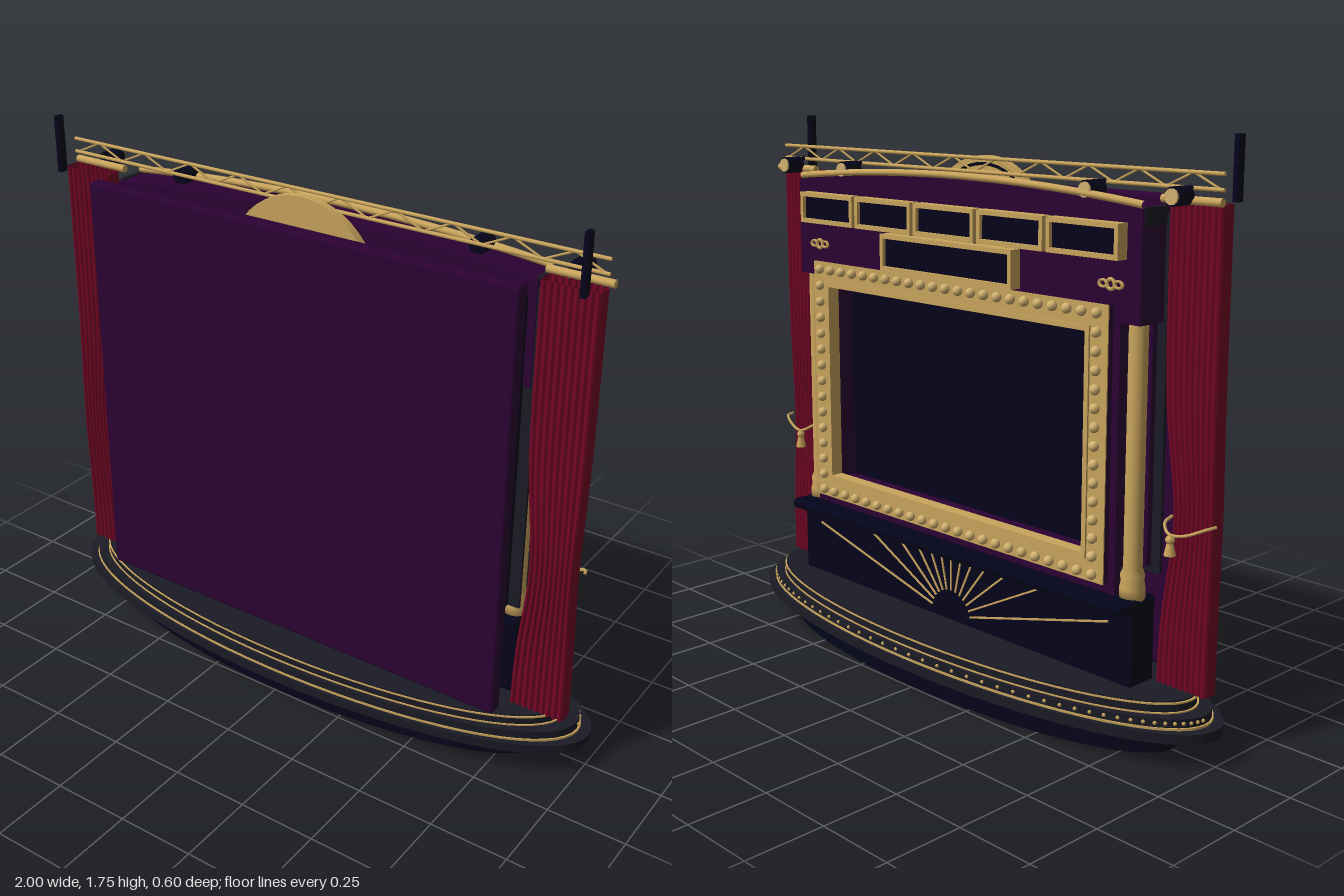
import * as THREE from 'three';
import { RoundedBoxGeometry } from 'three/addons/geometries/RoundedBoxGeometry.js';

const mat = (name, color, side = THREE.FrontSide) => {
  const m = new THREE.MeshStandardMaterial({ color, side });
  m.name = name;
  return m;
};

export function createModel() {
  const root = new THREE.Group();
  root.name = 'stageSet';
  const gold = mat('gold', 0xc9a45c);
  const bulbGold = mat('bulbGold', 0xd2b270);
  const purple = mat('purple', 0x2b0233);
  const navy = mat('navy', 0x04041b);
  const grey = mat('charcoal', 0x1a1b25);
  const red = mat('curtainRed', 0x780527, THREE.DoubleSide);

  const add = (name, geo, material, x = 0, y = 0, z = 0) => {
    const m = new THREE.Mesh(geo, material);
    m.name = name;
    m.position.set(x, y, z);
    root.add(m);
    return m;
  };
  // box given by its min and max corners
  const box = (name, material, x0, x1, y0, y1, z0, z1) =>
    add(name, new THREE.BoxGeometry(x1 - x0, y1 - y0, z1 - z0), material, (x0 + x1) / 2, (y0 + y1) / 2, (z0 + z1) / 2);
  const rectPath = (P, x0, x1, y0, y1) => {
    const p = new P();
    p.moveTo(x0, y0); p.lineTo(x1, y0); p.lineTo(x1, y1); p.lineTo(x0, y1); p.closePath();
    return p;
  };
  // rectangular frame: outer half width and height, border size, z range
  const frame = (name, material, x, y, hw, hh, border, z0, z1) => {
    const s = rectPath(THREE.Shape, -hw, hw, -hh, hh);
    s.holes.push(rectPath(THREE.Path, -hw + border, hw - border, -hh + border, hh - border));
    return add(name, new THREE.ExtrudeGeometry(s, { depth: z1 - z0, bevelEnabled: false }), material, x, y, z0);
  };
  // straight round bar between two points
  const bar = (name, material, a, b, r, sides = 8) => {
    const A = new THREE.Vector3(...a), B = new THREE.Vector3(...b);
    const m = add(name, new THREE.CylinderGeometry(r, r, A.distanceTo(B), sides), material);
    m.position.copy(A).add(B).multiplyScalar(0.5);
    m.quaternion.setFromUnitVectors(new THREE.Vector3(0, 1, 0), B.sub(A).normalize());
    return m;
  };

  // elliptical stepped base with gold edging
  const disc = (name, material, rx, rz, y0, y1) => {
    const m = add(name, new THREE.CylinderGeometry(1, 1, y1 - y0, 72), material, 0, (y0 + y1) / 2, 0);
    m.scale.set(rx, 1, rz);
  };
  disc('plinth', navy, 0.845, 0.245, 0, 0.085);
  disc('lowerStep', grey, 1, 0.3, 0.08, 0.11);
  disc('lowerTrim', gold, 0.966, 0.289, 0.105, 0.117);
  disc('middleStep', grey, 0.96, 0.286, 0.117, 0.143);
  disc('middleTrim', gold, 0.914, 0.274, 0.14, 0.147);
  disc('upperStep', grey, 0.908, 0.27, 0.147, 0.172);
  disc('upperTrim', gold, 0.912, 0.272, 0.17, 0.175);
  disc('stageFloor', grey, 0.905, 0.269, 0.172, 0.18);
  for (let i = 0; i < 48; i++) {
    const a = Math.PI + (i + 0.5) / 48 * Math.PI;
    add('rimStud', new THREE.SphereGeometry(0.006, 8, 6), gold, Math.cos(a) * 0.96, 0.13, Math.sin(a) * 0.287);
  }

  // tall panel with soft edges
  add('tallPanel', new RoundedBoxGeometry(1.515, 1.39, 0.05, 3, 0.012), purple, -0.003, 0.875, 0.14);

  // round crest
  const crest = add('crest', new THREE.CylinderGeometry(0.26, 0.26, 0.026, 48), gold, 0, 1.39, 0.08);
  crest.rotation.x = Math.PI / 2;
  for (const r of [0.19, 0.235]) add('crestRing', new THREE.TorusGeometry(r, 0.005, 6, 48), navy, 0, 1.39, 0.066);

  // lower cabinet, ledge and sunburst
  box('lowerCabinet', navy, -0.745, 0.745, 0.18, 0.43, -0.075, 0.025);
  add('ledge', new RoundedBoxGeometry(1.5, 0.035, 0.165, 3, 0.014), navy, 0, 0.422, -0.052);
  for (let i = 0; i < 13; i++) {
    const a = Math.PI * (0.08 + 0.84 * i / 12);
    const c = Math.cos(a), s = Math.sin(a);
    const start = 0.09, end = Math.min(0.215 / s, 0.66 / Math.abs(c));
    const ray = add('sunburstRay', new THREE.BoxGeometry(end - start, 0.006, 0.006), gold,
      c * (start + end) / 2, 0.19 + s * (start + end) / 2, -0.076);
    ray.rotation.z = a;
  }

  // screen housing: purple surround, recessed screen, backing
  const surround = rectPath(THREE.Shape, -0.675, 0.675, 0.44, 1.26);
  surround.holes.push(rectPath(THREE.Path, -0.57, 0.57, 0.54, 1.215));
  add('screenSurround', new THREE.ExtrudeGeometry(surround, { depth: 0.08, bevelEnabled: false }), purple, 0, 0, -0.07);
  box('screen', navy, -0.58, 0.58, 0.53, 1.225, 0.005, 0.015);
  box('housingBack', purple, -0.725, 0.725, 0.52, 1.24, 0.01, 0.03);
  box('backing', grey, -0.757, 0.757, 0.5, 1.53, 0.03, 0.04);
  box('rearHousing', navy, -0.72, 0.72, 0.5, 1.5, 0.04, 0.066);

  // arched header with charcoal shoulders
  const header = new THREE.Shape();
  header.moveTo(-0.745, 1.23);
  header.lineTo(0.745, 1.23);
  header.lineTo(0.745, 1.545);
  header.quadraticCurveTo(0, 1.62, -0.745, 1.545);
  header.closePath();
  add('header', new THREE.ExtrudeGeometry(header, { depth: 0.115, bevelEnabled: false, curveSegments: 24 }), purple, 0, 0, -0.07);
  const arch = new THREE.QuadraticBezierCurve3(
    new THREE.Vector3(-0.74, 1.557, -0.06), new THREE.Vector3(0, 1.633, -0.06), new THREE.Vector3(0.74, 1.557, -0.06));
  add('archTrim', new THREE.TubeGeometry(arch, 32, 0.011, 10), gold);

  // bulb frame: dark sides, gold face and lips
  frame('bulbFrame', purple, 0, 0.875, 0.65, 0.405, 0.075, -0.088, -0.068);
  frame('bulbFrameFace', gold, 0, 0.875, 0.65, 0.405, 0.075, -0.092, -0.088);
  frame('frameInnerLip', gold, 0, 0.875, 0.585, 0.34, 0.016, -0.098, -0.055);
  const bulbGeo = new THREE.SphereGeometry(0.0155, 12, 8);
  const bulb = (x, y) => add('bulb', bulbGeo, bulbGold, x, y, -0.099);
  for (let i = 0; i <= 22; i++) {
    for (const y of [0.495, 1.255]) bulb(-0.612 + 1.224 * i / 22, y);
  }
  for (let i = 1; i < 14; i++) for (const x of [-0.612, 0.612]) bulb(x, 0.495 + 0.76 * i / 14);

  // framed sign boxes
  const sign = (x, y, hw, hh) => {
    frame('signFrame', gold, x, y, hw, hh, 0.014, -0.11, -0.068);
    box('signFace', navy, x - hw + 0.01, x + hw - 0.01, y - hh + 0.01, y + hh - 0.01, -0.098, -0.07);
  };
  for (let i = -2; i <= 2; i++) sign(i * 0.28, 1.457, 0.133, 0.05);
  sign(0, 1.342, 0.29, 0.058);

  // flat truss with zigzag braces
  for (const y of [1.603, 1.645]) bar('trussRail', gold, [-0.94, y, 0.024], [0.94, y, 0.024], 0.006);
  for (let i = 0; i < 20; i++) {
    const x = -0.93 + i * 0.093, up = i % 2;
    bar('trussBrace', gold, [x, up ? 1.645 : 1.603, 0.024], [x + 0.093, up ? 1.603 : 1.645, 0.024], 0.0035, 6);
  }

  // parts repeated on both sides
  for (const s of [-1, 1]) {
    // column with turned base
    const profile = [[0, 0.43], [0.038, 0.43], [0.038, 0.465], [0.034, 0.485], [0.036, 0.505], [0.028, 0.525],
      [0.028, 1.23], [0, 1.23]].map(([r, y]) => new THREE.Vector2(r, y));
    add('column', new THREE.LatheGeometry(profile, 24), gold, s * 0.71, 0, -0.032);
    box('headerShoulder', grey, s * 0.74 - 0.008, s * 0.74 + 0.008, 1.5, 1.55, -0.06, 0.03);

    // scroll ornament
    for (const d of [-0.028, 0, 0.028]) {
      const t = add('scroll', new THREE.TorusGeometry(0.014, 0.006, 6, 16), gold, s * 0.64 + d, 1.335, -0.073);
      t.scale.y = d ? 0.7 : 1;
    }

    // thick pleated curtain, gathered at the tieback: front, outer edge, back, inner edge
    const cols = 74;
    const g = new THREE.PlaneGeometry(1, 1, 2 * cols + 2, 24);
    const p = g.attributes.position;
    for (let i = 0; i < p.count; i++) {
      const k = i % (2 * cols + 3), y = 0.18 + 1.385 * (p.getY(i) + 0.5);
      const front = k <= cols || k === 2 * cols + 2;
      const u = k === 2 * cols + 2 ? 0 : front ? k / cols : (2 * cols + 1 - k) / cols;
      const pinch = Math.exp(-(((y - 0.68) / 0.24) ** 2));
      const inner = 0.762 + 0.036 * pinch, outer = 0.942 - 0.004 * pinch;
      const half = 0.019 + 0.011 * Math.abs(Math.sin(u * Math.PI * 9));
      p.setXYZ(i, s * (inner + u * (outer - inner)), y, 0.045 + 0.011 * pinch + (front ? half : -half));
    }
    g.computeVertexNormals();
    add('curtain', g, red);

    // rope tieback with tassel
    const rope = new THREE.CatmullRomCurve3([[0.95, 0.685, 0.03], [0.94, 0.682, 0], [0.88, 0.655, -0.02],
      [0.83, 0.65, -0.025], [0.795, 0.67, 0.0], [0.788, 0.68, 0.04]].map(([x, y, z]) => new THREE.Vector3(s * x, y, z)));
    add('tieback', new THREE.TubeGeometry(rope, 24, 0.005, 6), gold);
    bar('tasselCord', gold, [s * 0.835, 0.65, -0.025], [s * 0.835, 0.61, -0.025], 0.004, 6);
    add('tasselKnot', new THREE.SphereGeometry(0.014, 10, 8), gold, s * 0.835, 0.635, -0.025);
    add('tasselSkirt', new THREE.CylinderGeometry(0.009, 0.018, 0.04, 10), gold, s * 0.835, 0.61, -0.025);

    // curtain rod and upright post
    bar('curtainRod', gold, [s * 0.75, 1.572, 0.005], [s * 0.95, 1.572, 0.005], 0.012, 12);
    box('upperPost', navy, s * 0.914 - 0.008, s * 0.914 + 0.008, 1.565, 1.745, 0.104, 0.13);

    // spotlights
    for (const x of [0.53, 0.835]) {
      bar('spotlightBody', navy, [s * x, 1.585, -0.062], [s * x, 1.585, -0.002], 0.027, 18);
      bar('spotlightLens', bulbGold, [s * x, 1.585, -0.068], [s * x, 1.585, -0.06], 0.022, 18);
      bar('spotlightArm', navy, [s * x, 1.6, -0.01], [s * x, 1.605, 0.02], 0.007, 8);
    }
  }
  return root;
}
